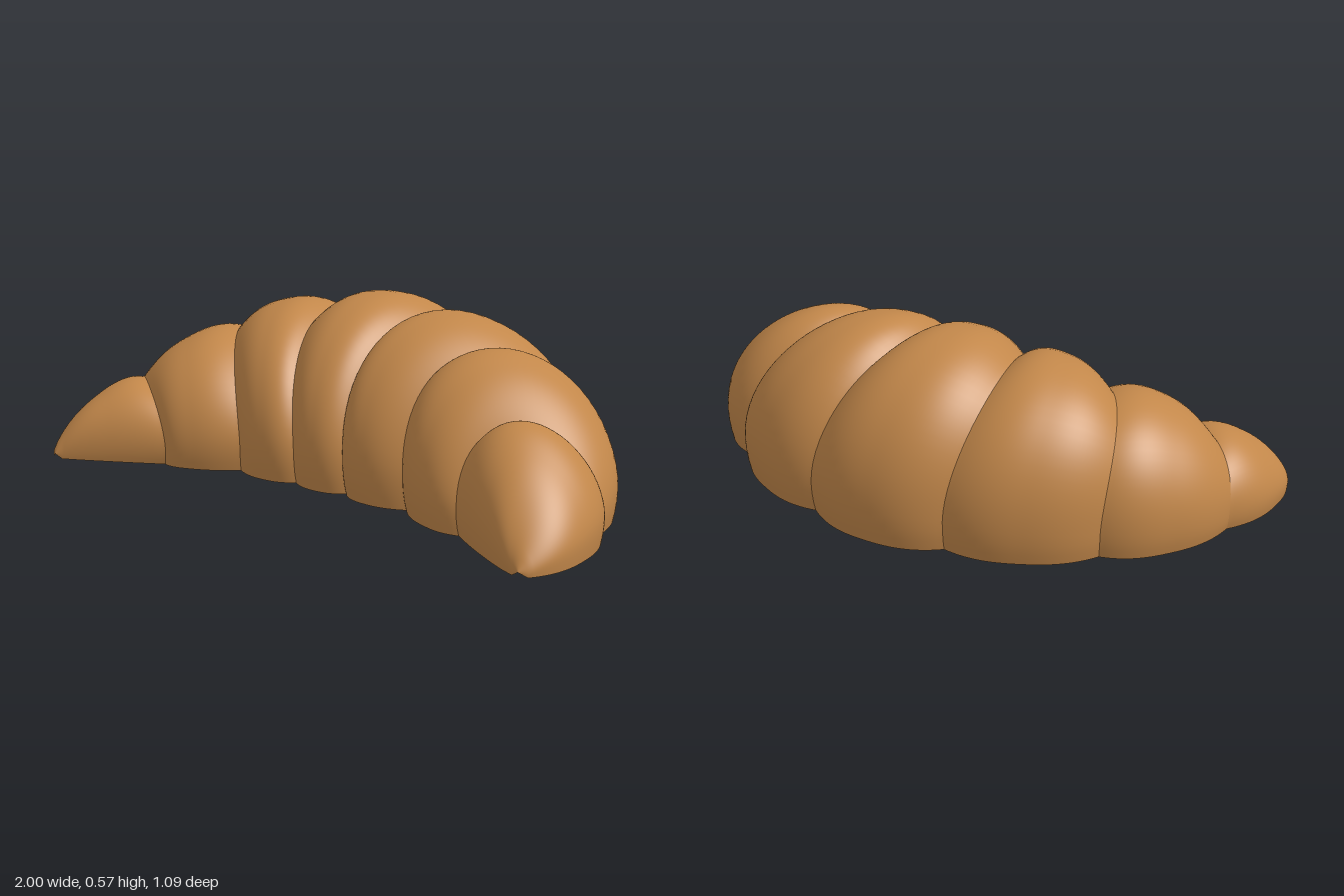
import * as THREE from 'three';

// Cross-section stations: outer edge [x, z], crown [x, y, z], inner edge [x, z].
const S = (o, a, i) => [...o, ...a, ...i];

// Pinched creases from the right tip to the left tip.
const seams = [
  S([-0.945, 0.53], [-0.915, 0.045, 0.53], [-0.895, 0.537]),
  S([-0.925, 0.10], [-0.78, 0.24, 0.25], [-0.57, 0.375]),
  S([-0.66, -0.26], [-0.57, 0.405, 0.0], [-0.325, 0.28]),
  S([-0.235, -0.465], [-0.26, 0.485, -0.1], [-0.10, 0.275]),
  S([0.245, -0.465], [0.10, 0.49, -0.1], [0.095, 0.27]),
  S([0.66, -0.255], [0.42, 0.455, 0.0], [0.335, 0.28]),
  S([0.925, 0.10], [0.69, 0.315, 0.2], [0.595, 0.37]),
  S([0.945, 0.53], [0.915, 0.045, 0.53], [0.895, 0.537]),
];

// Fullest section of the lobe between each pair of creases.
const swells = [
  S([-1.0, 0.32], [-0.85, 0.2, 0.39], [-0.76, 0.475]),
  S([-0.835, -0.13], [-0.69, 0.375, 0.13], [-0.46, 0.365]),
  S([-0.475, -0.425], [-0.42, 0.51, -0.06], [-0.2, 0.315]),
  S([0, -0.545], [-0.07, 0.565, -0.13], [0, 0.308]),
  S([0.475, -0.425], [0.25, 0.54, -0.08], [0.2, 0.315]),
  S([0.835, -0.13], [0.565, 0.455, 0.07], [0.46, 0.365]),
  S([1.0, 0.32], [0.8, 0.285, 0.34], [0.76, 0.475]),
];

const names = ['rightTip', 'rightOuterLobe', 'rightInnerLobe', 'centerLobe',
  'leftInnerLobe', 'leftOuterLobe', 'leftTip'];

const RINGS = 32, SIDES = 40;
const BASE = 0.22;                                  // height of the widest line
const START = -Math.asin(BASE / (1 - BASE));        // angle where the dome meets y = 0

// Blend two creases and push the middle out to the full section.
function station(k, t) {
  const bulge = 1 - Math.pow(Math.abs(2 * t - 1), 2.5);
  return seams[k].map((a, n) => {
    const b = seams[k + 1][n];
    return a + (b - a) * t + bulge * (swells[k][n] - (a + b) / 2);
  });
}

// Dome-shaped cross-section, from the outer foot over the crown to the inner foot.
function ring([ox, oz, ax, ay, az, ix, iz]) {
  const cx = (ox + ix) / 2, cz = (oz + iz) / 2, points = [];
  for (let j = 0; j <= SIDES; j++) {
    const a = START + (Math.PI - 2 * START) * j / SIDES;
    const c = Math.cos(a), s = Math.sin(a);
    const lean = Math.pow(Math.max(0, s), 1.5);
    points.push(new THREE.Vector3(
      cx + (ox - cx) * c + (ax - cx) * lean,
      Math.max(0, ay * (BASE + (1 - BASE) * s)),
      cz + (oz - cz) * c + (az - cz) * lean));
  }
  return points;
}

// Skin a list of equal-length rows.
function loft(rows) {
  const n = rows[0].length, index = [];
  for (let i = 0; i < rows.length - 1; i++) {
    for (let j = 0; j < n - 1; j++) {
      const a = i * n + j, b = a + n;
      index.push(a, a + 1, b, a + 1, b + 1, b);
    }
  }
  const g = new THREE.BufferGeometry().setFromPoints(rows.flat());
  g.setIndex(index);
  g.computeVertexNormals();
  return g;
}

export function createModel() {
  const group = new THREE.Group();
  group.name = 'croissant';
  const crust = new THREE.MeshStandardMaterial({ color: 0xc2874a });
  crust.name = 'golden crust';

  names.forEach((name, k) => {
    const rows = [];
    for (let i = 0; i <= RINGS; i++) rows.push(ring(station(k, i / RINGS)));

    // Close the pointed ends.
    const end = x => Array.from({ length: SIDES + 1 }, () => new THREE.Vector3(x, 0.015, 0.545));
    if (k === 0) rows.unshift(end(-0.92));
    if (k === names.length - 1) rows.push(end(0.92));

    const lobe = new THREE.Mesh(loft(rows), crust);
    lobe.name = name;

    // Flat underside, joining the two feet of every section.
    const base = new THREE.Mesh(loft(rows.map(r => {
      const foot = [r[SIDES].clone(), r[0].clone()];
      foot.forEach(p => { p.y = 0; });
      return foot;
    })), crust);
    base.name = name + 'Base';
    group.add(lobe, base);
  });
  return group;
}
